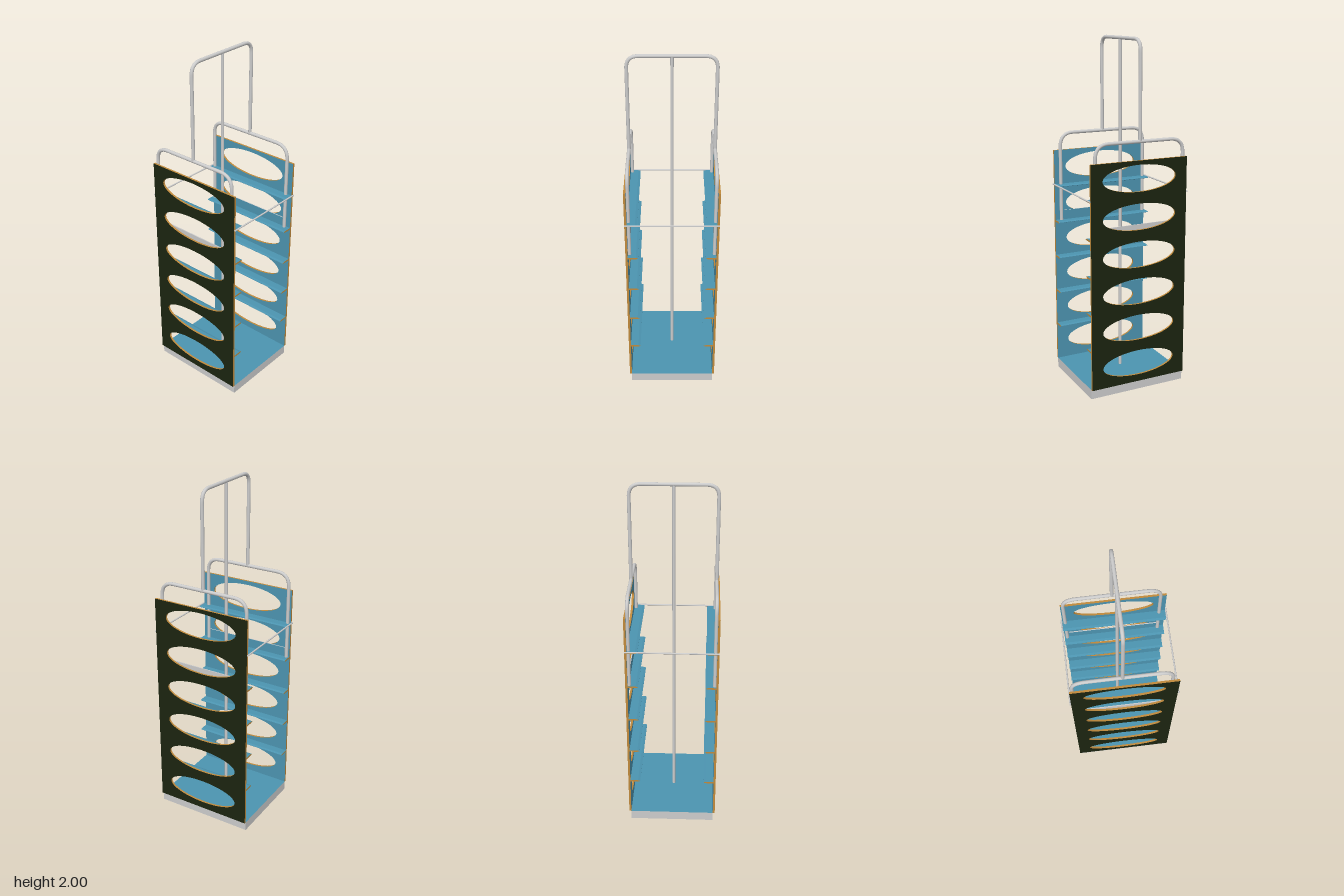
import * as THREE from 'three';

const mat = (color) => new THREE.MeshStandardMaterial({ color });
const grey = mat(0xcccccc), blue = mat(0x4c94b0), dark = mat(0x1b2410), wood = mat(0xc08a3c);

const PANEL_BOTTOM = 0.055, PANEL_TOP = 1.35, HALF_DEPTH = 0.295, RAIL_Z = -0.01, RAIL_X = 0.236;

function add(parent, name, geometry, material) {
  const mesh = new THREE.Mesh(geometry, material);
  mesh.name = name;
  parent.add(mesh);
  return mesh;
}

// Upside-down U of round tube: half width w, from y0 up to y1, corner radius r (in the xy plane)
function archGeometry(w, y0, y1, r) {
  const v = (x, y) => new THREE.Vector3(x, y, 0);
  const path = new THREE.CurvePath();
  path.add(new THREE.LineCurve3(v(-w, y0), v(-w, y1 - r)));
  path.add(new THREE.QuadraticBezierCurve3(v(-w, y1 - r), v(-w, y1), v(-w + r, y1)));
  path.add(new THREE.LineCurve3(v(-w + r, y1), v(w - r, y1)));
  path.add(new THREE.QuadraticBezierCurve3(v(w - r, y1), v(w, y1), v(w, y1 - r)));
  path.add(new THREE.LineCurve3(v(w, y1 - r), v(w, y0)));
  return new THREE.TubeGeometry(path, 160, 0.01, 12);
}

// Side panel with oval openings; dark outside, blue inside, wooden edges
function panelGeometry() {
  const s = new THREE.Shape();
  s.moveTo(-HALF_DEPTH, PANEL_BOTTOM).lineTo(HALF_DEPTH, PANEL_BOTTOM);
  s.lineTo(HALF_DEPTH, PANEL_TOP).lineTo(-HALF_DEPTH, PANEL_TOP).closePath();
  for (let i = 0; i < 6; i++) {
    const hole = new THREE.Path();
    hole.absellipse(0, 0.172 + i * 0.216, 0.225, 0.075, 0, Math.PI * 2, true);
    s.holes.push(hole);
  }
  const g = new THREE.ExtrudeGeometry(s, { depth: 0.012, bevelEnabled: false, curveSegments: 40 });
  const [lids, walls] = g.groups.map((q) => ({ ...q }));
  g.clearGroups();
  g.addGroup(0, lids.count / 2, 0);
  g.addGroup(lids.count / 2, lids.count / 2, 1);
  g.addGroup(walls.start, walls.count, 2);
  return g.rotateY(Math.PI / 2).translate(0.245, 0, 0);
}

// Narrow shelf with a tapered nose pointing inward
function shelfGeometry() {
  const s = new THREE.Shape();
  s.moveTo(0.246, -0.005).lineTo(0.246, 0.005).lineTo(0.2, 0.005);
  s.lineTo(0.187, 0.001).lineTo(0.187, -0.001).lineTo(0.2, -0.005).closePath();
  const g = new THREE.ExtrudeGeometry(s, { depth: 2 * HALF_DEPTH, bevelEnabled: false });
  return g.translate(0, 0, -HALF_DEPTH);
}

// One side, built on +x
function createSide() {
  const side = new THREE.Group();
  add(side, 'sidePanel', panelGeometry(), [blue, dark, wood]);
  const shelf = shelfGeometry();
  for (let i = 0; i < 5; i++) {
    add(side, 'shelf', shelf, [wood, blue]).position.y = 0.283 + i * 0.2155;
  }
  const rail = add(side, 'sideRail', archGeometry(0.269, 0.93, 1.45, 0.08), grey);
  rail.rotation.y = Math.PI / 2;
  rail.position.set(RAIL_X, 0, 0);
  // strip between the feet of the rail
  const strip = add(side, 'railStrip', new THREE.BoxGeometry(0.006, 0.06, 0.53), [grey, blue, grey, grey, grey, grey]);
  strip.position.set(0.241, 0.96, 0);
  return side;
}

export function createModel() {
  const model = new THREE.Group();
  model.name = 'shelfTrolley';

  // Floor tray
  const base = add(model, 'base', new THREE.BoxGeometry(0.49, PANEL_BOTTOM, 2 * HALF_DEPTH),
    [grey, grey, blue, grey, grey, grey]);
  base.position.y = PANEL_BOTTOM / 2;

  // Two opposite sides
  for (const [name, turn] of [['leftSide', 0], ['rightSide', Math.PI]]) {
    const side = createSide();
    side.name = name;
    side.rotation.y = turn;
    // both rails share the same slight offset towards the back
    side.getObjectByName('sideRail').position.z = turn ? -RAIL_Z : RAIL_Z;
    model.add(side);
  }

  // Tall arch standing on the side rails, and the centre pole
  add(model, 'topArch', archGeometry(RAIL_X, 1.45, 1.99, 0.065), grey).position.z = RAIL_Z;
  const pole = add(model, 'centrePole', new THREE.CylinderGeometry(0.009, 0.009, 1.935, 12), grey);
  pole.position.set(0, PANEL_BOTTOM + 1.935 / 2, RAIL_Z);

  // Thin retaining rods across the front and back
  for (const z of [-0.3, 0.3]) {
    const rod = add(model, 'crossRod', new THREE.CylinderGeometry(0.0045, 0.0045, 0.514, 10), grey);
    rod.rotation.z = Math.PI / 2;
    rod.position.set(0, 1.15, z);
  }
  return model;
}
